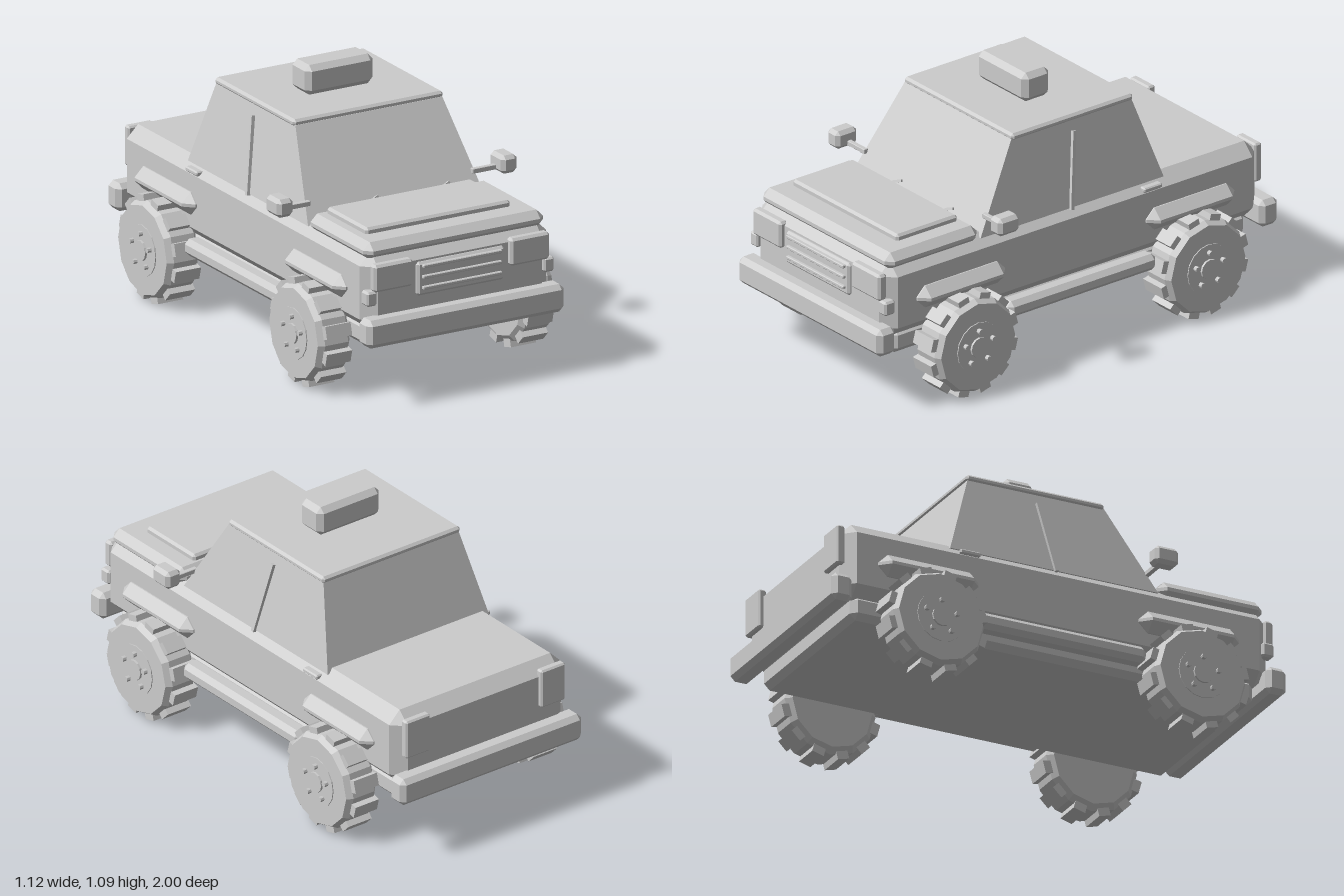
import * as THREE from 'three';
import { ConvexGeometry } from 'three/addons/geometries/ConvexGeometry.js';

export function createModel() {
  const car = new THREE.Group();
  car.name = 'pickupCar';
  const grey = new THREE.MeshStandardMaterial({ color: 0xcccccc, flatShading: true });
  grey.name = 'plainGrey';

  const add = (name, geometry, parent = car) => {
    const mesh = new THREE.Mesh(geometry, grey);
    mesh.name = name;
    parent.add(mesh);
    return mesh;
  };

  // Box between two corners with every edge chamfered by b
  const chamferBox = (x0, x1, y0, y1, z0, z1, b) => {
    const points = [];
    const h = [(x1 - x0) / 2, (y1 - y0) / 2, (z1 - z0) / 2];
    for (const sx of [-1, 1]) for (const sy of [-1, 1]) for (const sz of [-1, 1]) {
      for (let axis = 0; axis < 3; axis++) {
        const p = h.map((v, i) => (i === axis ? v : v - b));
        points.push(new THREE.Vector3(sx * p[0], sy * p[1], sz * p[2]));
      }
    }
    return new ConvexGeometry(points).translate((x0 + x1) / 2, (y0 + y1) / 2, (z0 + z1) / 2);
  };
  const block = (name, ...dims) => add(name, chamferBox(...dims));
  // Same block on both sides of the car
  const pair = (name, x0, x1, ...rest) => {
    block(name + 'Left', x0, x1, ...rest);
    block(name + 'Right', -x1, -x0, ...rest);
  };

  // Thin square rod between two points
  const rod = (name, a, b, thickness) => {
    const from = new THREE.Vector3(...a), to = new THREE.Vector3(...b);
    const mesh = add(name, new THREE.BoxGeometry(thickness, from.distanceTo(to), thickness));
    mesh.position.lerpVectors(from, to, 0.5);
    mesh.quaternion.setFromUnitVectors(new THREE.Vector3(0, 1, 0), to.sub(from).normalize());
  };

  // Body
  block('chassis', -0.39, 0.39, 0.215, 0.32, -0.885, 0.885, 0.025);
  block('body', -0.425, 0.425, 0.295, 0.62, -0.935, 0.94, 0.052);
  block('hood', -0.41, 0.41, 0.585, 0.66, 0.46, 0.92, 0.03);
  block('hoodPanel', -0.345, 0.315, 0.65, 0.685, 0.5, 0.805, 0.01);
  pair('sill', 0.40, 0.48, 0.25, 0.32, -0.37, 0.37, 0.02);
  for (const z of [0.575, -0.57]) {
    pair(z > 0 ? 'frontFender' : 'rearFender', 0.36, 0.47, 0.402, 0.495, z - 0.22, z + 0.22, 0.04);
  }

  // Cabin tapering up to the roof
  const cabin = [];
  for (const s of [-1, 1]) {
    cabin.push(
      new THREE.Vector3(s * 0.4, 0.6, 0.455), new THREE.Vector3(s * 0.4, 0.6, -0.46),
      new THREE.Vector3(s * 0.335, 0.945, 0.25), new THREE.Vector3(s * 0.335, 0.945, -0.35));
  }
  add('cabin', new ConvexGeometry(cabin));
  block('roof', -0.342, 0.342, 0.937, 0.967, -0.357, 0.25, 0.01);
  block('roofLight', -0.155, 0.155, 0.967, 1.09, -0.095, 0.04, 0.022);
  for (const s of [-1, 1]) {
    rod('doorPillar', [s * 0.406, 0.595, 0.005], [s * 0.351, 0.9, -0.05], 0.015);
  }
  for (const x of [-0.105, 0.22]) {
    rod('wiper', [x - 0.018, 0.66, 0.475], [x + 0.018, 0.672, 0.462], 0.01);
  }

  // Bumpers
  block('frontBumper', -0.45, 0.45, 0.255, 0.37, 0.91, 1, 0.02);
  block('rearBumper', -0.45, 0.45, 0.255, 0.37, -1, -0.91, 0.02);

  // Grille, lights and handles
  block('grille', -0.2, 0.2, 0.422, 0.56, 0.92, 0.955, 0.01);
  for (const y of [0.455, 0.5, 0.545]) {
    block('grilleBar', -0.18, 0.18, y - 0.007, y + 0.007, 0.945, 0.968, 0.003);
  }
  pair('headlight', 0.222, 0.4, 0.472, 0.585, 0.92, 0.962, 0.01);
  pair('turnSignal', 0.38, 0.427, 0.415, 0.475, 0.9, 0.952, 0.008);
  pair('tailLight', 0.275, 0.395, 0.435, 0.6, -0.955, -0.92, 0.007);
  pair('doorHandle', 0.4, 0.432, 0.572, 0.592, -0.43, -0.34, 0.005);

  // Side mirrors
  pair('mirror', 0.475, 0.547, 0.66, 0.735, 0.37, 0.475, 0.015);
  pair('mirrorArm', 0.37, 0.48, 0.67, 0.69, 0.405, 0.425, 0.002);

  // Wheels, built around the y axis with +y as the outer side
  const makeWheel = (name, side, z) => {
    const wheel = new THREE.Group();
    wheel.name = name;
    const profile = [[0, -0.075], [0.175, -0.075], [0.2, -0.055], [0.2, 0.05], [0.185, 0.075], [0, 0.075]]
      .map(([r, y]) => new THREE.Vector2(r, y));
    add('tyre', new THREE.LatheGeometry(profile, 12), wheel);
    for (let i = 0; i < 12; i++) {
      const a = ((i + 0.5) * Math.PI) / 6;
      const tread = add('tread', new THREE.BoxGeometry(0.052, 0.115, 0.04), wheel);
      tread.position.set(Math.sin(a) * 0.198, -0.005, Math.cos(a) * 0.198);
      tread.rotation.y = a;
    }
    const disc = (part, r, top, sides) => {
      const mesh = add(part, new THREE.CylinderGeometry(r, r, top - 0.05, sides), wheel);
      mesh.position.y = (top + 0.05) / 2;
      return mesh;
    };
    disc('rim', 0.105, 0.079, 16);
    disc('hubCap', 0.042, 0.088, 12);
    for (let i = 0; i < 5; i++) {
      const a = (i * Math.PI * 2) / 5;
      const bolt = disc('bolt', 0.011, 0.096, 8);
      bolt.position.x = side * Math.cos(a) * -0.07;
      bolt.position.z = Math.sin(a) * 0.07;
    }
    wheel.position.set(side * 0.465, 0.22, z);
    wheel.rotation.z = (-side * Math.PI) / 2;
    car.add(wheel);
  };
  for (const side of [-1, 1]) {
    const label = side > 0 ? 'Left' : 'Right';
    makeWheel('frontWheel' + label, side, 0.578);
    makeWheel('rearWheel' + label, side, -0.572);
  }

  return car;
}
